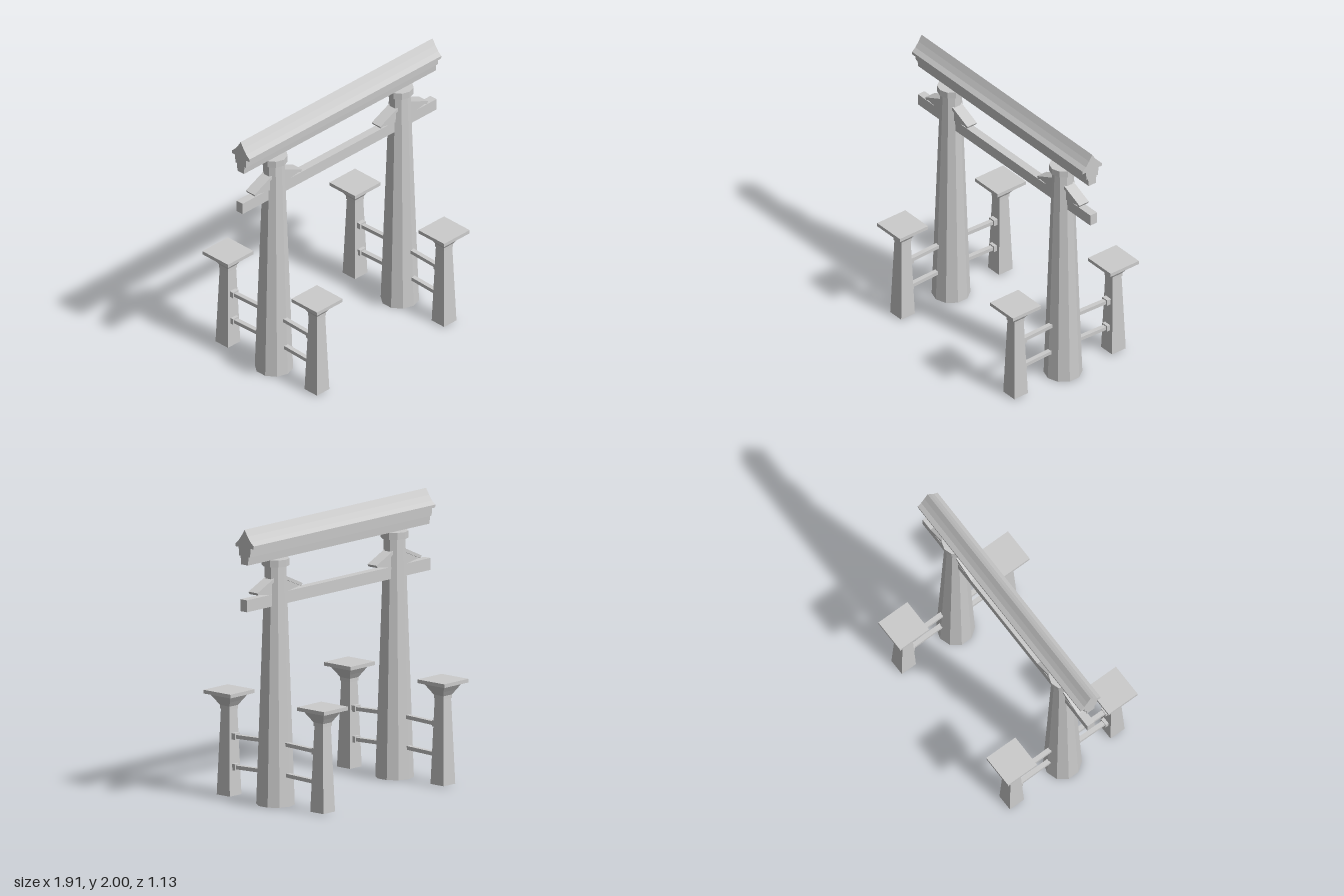
import * as THREE from 'three';

const mat = new THREE.MeshStandardMaterial({ color: 0xcccccc, flatShading: true });

function add(parent, name, geometry, x = 0, y = 0, z = 0) {
  const mesh = new THREE.Mesh(geometry, mat);
  mesh.name = name;
  mesh.position.set(x, y, z);
  parent.add(mesh);
  return mesh;
}

// Outline extruded along z and centred on it
function prism(points, depth) {
  const shape = new THREE.Shape(points.map(([x, y]) => new THREE.Vector2(x, y)));
  return new THREE.ExtrudeGeometry(shape, { depth, bevelEnabled: false }).translate(0, 0, -depth / 2);
}

// Many-sided turned solid from [radius, y] pairs, bottom to top
function turned(profile, sides, phase = 0) {
  return new THREE.LatheGeometry(profile.map(([r, y]) => new THREE.Vector2(r, y)), sides, phase);
}

// Square solid from [half width, y] pairs
function square(profile) {
  return turned(profile.map(([h, y]) => [h * Math.SQRT2, y]), 4, Math.PI / 4);
}

// Tall tapered pillar with a collar, and a sloping bracket on either side
function makePillar() {
  const g = new THREE.Group();
  g.name = 'pillar';
  add(g, 'pillarShaft', turned([[0, 0], [0.135, 0], [0.075, 1.71], [0, 1.71]], 10));
  add(g, 'pillarCollar', turned([[0, 1.7], [0.097, 1.7], [0.097, 1.75], [0, 1.75]], 10));
  for (const turn of [0, Math.PI]) {
    const bracket = new THREE.Group();
    bracket.name = 'bracket';
    bracket.rotation.y = turn;
    add(bracket, 'bracketWedge', prism([[0.04, 1.5], [0.09, 1.503], [0.22, 1.525], [0.04, 1.605]], 0.064));
    add(bracket, 'bracketPlank', prism([[0.04, 1.6], [0.225, 1.522], [0.235, 1.54], [0.08, 1.61], [0.04, 1.628]], 0.084));
    g.add(bracket);
  }
  return g;
}

// Short outer post with a flared capital, and two rails running back to the pillar
function makeSupport() {
  const g = new THREE.Group();
  g.name = 'support';
  const zPost = 0.43;
  add(g, 'post', square([[0, 0.01], [0.061, 0.01], [0.04, 0.63], [0, 0.63]]), 0, 0, zPost);
  add(g, 'postCapital', square([[0, 0.62], [0.045, 0.62], [0.045, 0.645], [0.066, 0.68],
    [0.098, 0.73], [0, 0.73]]), 0, 0, zPost);
  add(g, 'postSlab', new THREE.BoxGeometry(0.252, 0.026, 0.252), 0, 0.741, zPost);
  for (const y of [0.215, 0.433]) {
    const rail = add(g, 'rail', new THREE.BoxGeometry(0.034, 0.027, 0.31), 0, y + 0.003, 0.235);
    rail.rotation.x = 0.035;
    add(g, 'railSocket', new THREE.BoxGeometry(0.055, 0.045, 0.05), 0, y, zPost - 0.053);
  }
  return g;
}

export function createModel() {
  const model = new THREE.Group();
  model.name = 'gateway';

  for (const side of [-1, 1]) {
    const pillar = makePillar();
    pillar.position.set(side * 0.62, 0, 0.008);
    model.add(pillar);
    for (const turn of [0, Math.PI]) {
      const support = makeSupport();
      support.position.set(side * 0.626, 0, turn ? -0.008 : 0.006);
      support.rotation.y = turn;
      model.add(support);
    }
  }

  // Lower cross beam
  add(model, 'tieBeam', new THREE.BoxGeometry(1.91, 0.085, 0.06), 0, 1.4625, 0.004);

  // Top beam: stepped lintel under a concave ridged roof
  const half = [[0.032, 1.75], [0.037, 1.81], [0.052, 1.81], [0.055, 1.872],
    [0.085, 1.872], [0.086, 1.893], [0.056, 1.918], [0.028, 1.955]];
  const roof = [...half, [0, 2], ...half.map(([x, y]) => [-x, y]).reverse()];
  add(model, 'roofBeam', prism(roof, 1.89).rotateY(Math.PI / 2), -0.002, 0, 0.007);

  return model;
}
